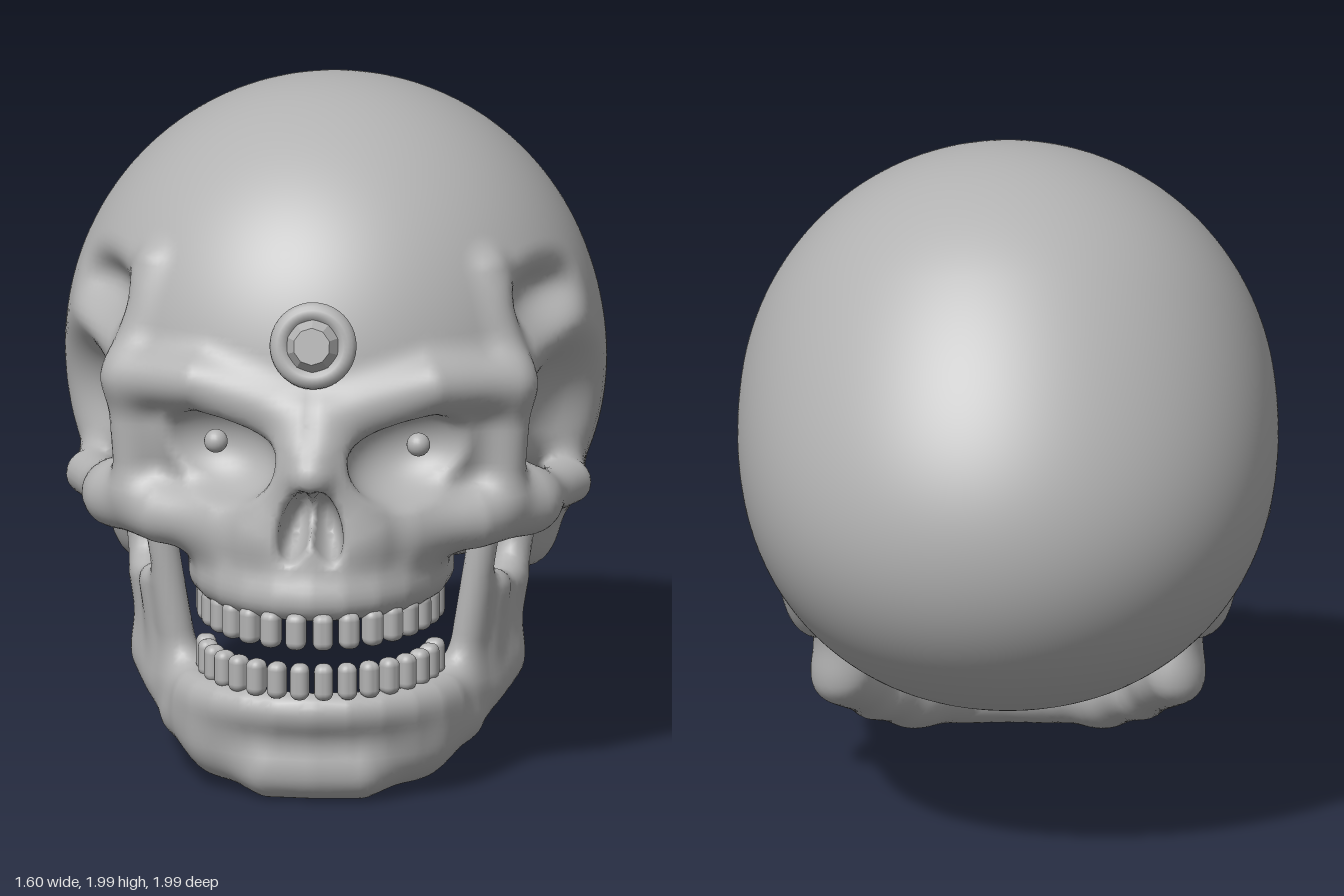
import * as THREE from 'three';
import { RoundedBoxGeometry } from 'three/addons/geometries/RoundedBoxGeometry.js';

// ---- sculpting helpers: a form is a signed distance rule for the x >= 0 half ----
const smin = (a, b, k) => {
  const h = Math.max(k - Math.abs(a - b), 0) / k;
  return Math.min(a, b) - (h * h * k) / 4;
};
const join = (soft, ...forms) => (x, y, z) =>
  forms.map((f) => f(x, y, z)).reduce((a, b) => smin(a, b, soft));
const carve = (soft, base, ...forms) => (x, y, z) =>
  forms.reduce((d, f) => -smin(-d, f(x, y, z), soft), base(x, y, z));

// Ellipsoid, optionally rolled about the z axis
function blob(cx, cy, cz, rx, ry, rz, roll = 0) {
  const c = Math.cos(roll), s = Math.sin(roll);
  return (x, y, z) => {
    const dx = x - cx, dy = y - cy;
    const u = (dx * c + dy * s) / rx, v = (dy * c - dx * s) / ry, w = (z - cz) / rz;
    const k0 = Math.hypot(u, v, w), k1 = Math.hypot(u / rx, v / ry, w / rz);
    return (k0 * (k0 - 1)) / Math.max(k1, 1e-6);
  };
}

// Rounded rod of one radius through a few points
const limb = (radius, ...pts) => (x, y, z) => {
  let d = Infinity;
  for (let i = 1; i < pts.length; i++) {
    const [ax, ay, az] = pts[i - 1], [bx, by, bz] = pts[i];
    const ux = bx - ax, uy = by - ay, uz = bz - az;
    const px = x - ax, py = y - ay, pz = z - az;
    const t = THREE.MathUtils.clamp((px * ux + py * uy + pz * uz) / (ux * ux + uy * uy + uz * uz), 0, 1);
    d = Math.min(d, Math.hypot(px - t * ux, py - t * uy, pz - t * uz));
  }
  return d - radius;
};

// Dental arch in the x-z plane, shared by gums and teeth
const dentalArch = (width, depth, sweep) => new THREE.EllipseCurve(0, 0.5, width, depth, 0, sweep);
const gum = (radius, width, depth, y) =>
  limb(radius, ...dentalArch(width, depth, Math.PI / 2).getPoints(6).map((p) => [p.x, y, p.y]));

// Skin a mirrored form with a net of quads, then settle the vertices onto it
function skin(form) {
  const step = 0.02, lo = [-0.89, -0.07, -1.07];
  const n = [90, 108, 108], st = [1, n[0], n[0] * n[1]];
  const field = (x, y, z) => form(Math.abs(x), y, z);
  const val = new Float32Array(n[0] * n[1] * n[2]);
  for (let k = 0, m = 0; k < n[2]; k++)
    for (let j = 0; j < n[1]; j++)
      for (let i = 0; i < n[0]; i++, m++)
        val[m] = field(lo[0] + i * step, lo[1] + j * step, lo[2] + k * step);

  // One vertex in every cell the surface crosses
  const id = new Int32Array(val.length), cells = [], pos = [], nor = [], idx = [];
  const bit = (c, a) => (c >> a) & 1;
  const off = Array.from({ length: 8 }, (_, c) => bit(c, 0) * st[0] + bit(c, 1) * st[1] + bit(c, 2) * st[2]);
  for (let k = 0; k < n[2] - 1; k++)
    for (let j = 0; j < n[1] - 1; j++)
      for (let i = 0; i < n[0] - 1; i++) {
        const m = i + j * st[1] + k * st[2], p = [0, 0, 0];
        let hits = 0;
        for (let c = 0; c < 8; c++)
          for (let a = 0; a < 3; a++) {
            if (bit(c, a)) continue;
            const v0 = val[m + off[c]], v1 = val[m + off[c] + st[a]];
            if (v0 < 0 === v1 < 0) continue;
            for (let q = 0; q < 3; q++) p[q] += q === a ? v0 / (v0 - v1) : bit(c, q);
            hits++;
          }
        if (!hits) continue;
        id[m] = cells.length;
        cells.push(m);
        [i, j, k].forEach((g, q) => pos.push(lo[q] + (g + p[q] / hits) * step));
      }

  // One quad around every crossed grid edge
  for (const m of cells)
    for (let a = 0; a < 3; a++) {
      if (val[m] < 0 === val[m + st[a]] < 0) continue;
      const b = st[(a + 1) % 3], c = st[(a + 2) % 3];
      const q = [id[m], id[m - b], id[m - b - c], id[m - c]];
      if (val[m] >= 0) q.reverse();
      idx.push(q[0], q[1], q[2], q[0], q[2], q[3]);
    }

  // Slide vertices along the slope of the field, and take normals from it
  const e = 0.004;
  const slope = (x, y, z) => new THREE.Vector3(
    field(x + e, y, z) - field(x - e, y, z),
    field(x, y + e, z) - field(x, y - e, z),
    field(x, y, z + e) - field(x, y, z - e),
  ).divideScalar(2 * e);
  for (let v = 0; v < pos.length; v += 3) {
    const p = new THREE.Vector3().fromArray(pos, v);
    for (let pass = 0; pass < 2; pass++) {
      const g = slope(...p), len = g.length() || 1;
      const move = THREE.MathUtils.clamp(field(...p) / len, -step / 2, step / 2);
      p.addScaledVector(g, -move / len);
    }
    p.toArray(pos, v);
    nor.push(...slope(...p).normalize());
  }
  const geo = new THREE.BufferGeometry();
  geo.setAttribute('position', new THREE.Float32BufferAttribute(pos, 3));
  geo.setAttribute('normal', new THREE.Float32BufferAttribute(nor, 3));
  geo.setIndex(idx);
  return geo;
}

function skullForm() {
  const braincase = carve(0.08,
    join(0.2, blob(0, 1.2, -0.01, 0.795, 0.8, 0.84), blob(0, 1.02, -0.3, 0.72, 0.61, 0.695)),
    (x, y, z) => (y - 0.6 - 0.43 * z) * 0.92, // sloping base
    blob(0.87, 1.06, 0.4, 0.29, 0.27, 0.36), // temple hollow
    blob(0.72, 1.45, 0.45, 0.16, 0.1, 0.25), // forehead hollow
    blob(0.7, 0.8, 0.4, 0.2, 0.16, 0.27)); // space inside the cheek arch
  const face = join(0.08, braincase,
    blob(0, 0.82, 0.6, 0.36, 0.26, 0.33), // upper jaw
    gum(0.09, 0.29, 0.36, 0.75),
    gum(0.06, 0.33, 0.43, 0.645),
    limb(0.055, [0, 1.15, 0.82], [0, 1.02, 0.925]), // nose bridge
    limb(0.075, [0.04, 1.08, 0.85], [0.14, 0.84, 0.84]), // nose side
    limb(0.055, [0.57, 1.22, 0.58], [0.55, 0.9, 0.58]), // outer eye rim
    limb(0.09, [0.28, 0.83, 0.72], [0.46, 0.83, 0.63], [0.61, 0.845, 0.47]), // cheekbone
    limb(0.063, [0.61, 0.845, 0.47], [0.715, 0.84, 0.21], [0.66, 0.78, -0.02]), // cheek arch
    blob(0.56, 0.65, -0.05, 0.1, 0.13, 0.13)); // bump behind the jaw joint
  const browed = join(0.08,
    carve(0.03, face, blob(0.31, 1.06, 0.83, 0.21, 0.15, 0.2, 0.15)), // eye socket
    limb(0.07, [0.04, 1.17, 0.81], [0.35, 1.26, 0.75], [0.56, 1.24, 0.6]), // brow
    limb(0.035, [0.55, 1.3, 0.56], [0.5, 1.55, 0.5])); // temple ridge
  return carve(0.025, browed,
    blob(0.042, 0.87, 0.96, 0.05, 0.11, 0.17, 0.25), // nose opening
    blob(0, 0.55, 0.6, 0.24, 0.15, 0.28)); // palate
}

function jawForm() {
  return join(0.09,
    limb(0.092, [0, 0.097, 0.77], [0.13, 0.097, 0.76], [0.28, 0.14, 0.62]), // chin
    limb(0.078, [0.28, 0.14, 0.62], [0.4, 0.19, 0.46], [0.49, 0.315, 0.24]), // lower border
    gum(0.06, 0.37, 0.27, 0.2), // body of the jaw
    gum(0.055, 0.38, 0.34, 0.285),
    limb(0.052, [0.5, 0.31, 0.22], [0.56, 0.73, 0.15]), // rear edge and joint
    limb(0.045, [0.41, 0.31, 0.45], [0.48, 0.75, 0.46]), // front edge
    limb(0.045, [0.47, 0.28, 0.31], [0.53, 0.55, 0.26]), // web between them
    limb(0.045, [0.44, 0.28, 0.38], [0.5, 0.56, 0.37]));
}

export function createModel() {
  const bone = new THREE.MeshStandardMaterial({ color: 0xb2b2b2 });
  bone.name = 'bone grey';
  const model = new THREE.Group();
  model.name = 'skull';
  const part = (name, geo, parent = model) => {
    const mesh = new THREE.Mesh(geo, bone);
    mesh.name = name;
    parent.add(mesh);
    return mesh;
  };
  const group = (name) => {
    const g = new THREE.Group();
    g.name = name;
    model.add(g);
    return g;
  };

  part('cranium', skin(skullForm()));
  part('lowerJaw', skin(jawForm()));

  // Rows of teeth spaced evenly along each arch
  const teeth = (name, arch, y, width, height) => {
    const row = group(name), geo = new RoundedBoxGeometry(width, height, 0.06, 3, 0.024);
    for (let i = 0; i < 16; i++) {
      const u = (i + 0.5) / 16, p = arch.getPointAt(u), t = arch.getTangentAt(u);
      const tooth = part('tooth', geo, row);
      tooth.position.set(p.x, y, p.y);
      tooth.rotation.y = Math.atan2(-t.y, t.x);
    }
  };
  teeth('upperTeeth', dentalArch(0.34, 0.47, Math.PI), 0.56, 0.06, 0.11);
  teeth('lowerTeeth', dentalArch(0.34, 0.38, Math.PI), 0.385, 0.056, 0.11);

  // Pupils
  for (const side of [-1, 1])
    part(side > 0 ? 'leftPupil' : 'rightPupil', new THREE.SphereGeometry(0.035, 20, 14))
      .position.set(side * 0.3, 1.06, 0.665);

  // Forehead jewel: rounded ring around a faceted stone
  const jewel = group('foreheadJewel');
  jewel.position.set(0, 1.395, 0.825);
  jewel.rotation.x = -0.2;
  part('jewelRing', new THREE.TorusGeometry(0.099, 0.03, 14, 40), jewel);
  const stone = new THREE.CylinderGeometry(0.055, 0.09, 0.06, 10).rotateX(Math.PI / 2).toNonIndexed();
  stone.computeVertexNormals();
  part('jewelStone', stone, jewel).position.z = 0.03;

  return model;
}
